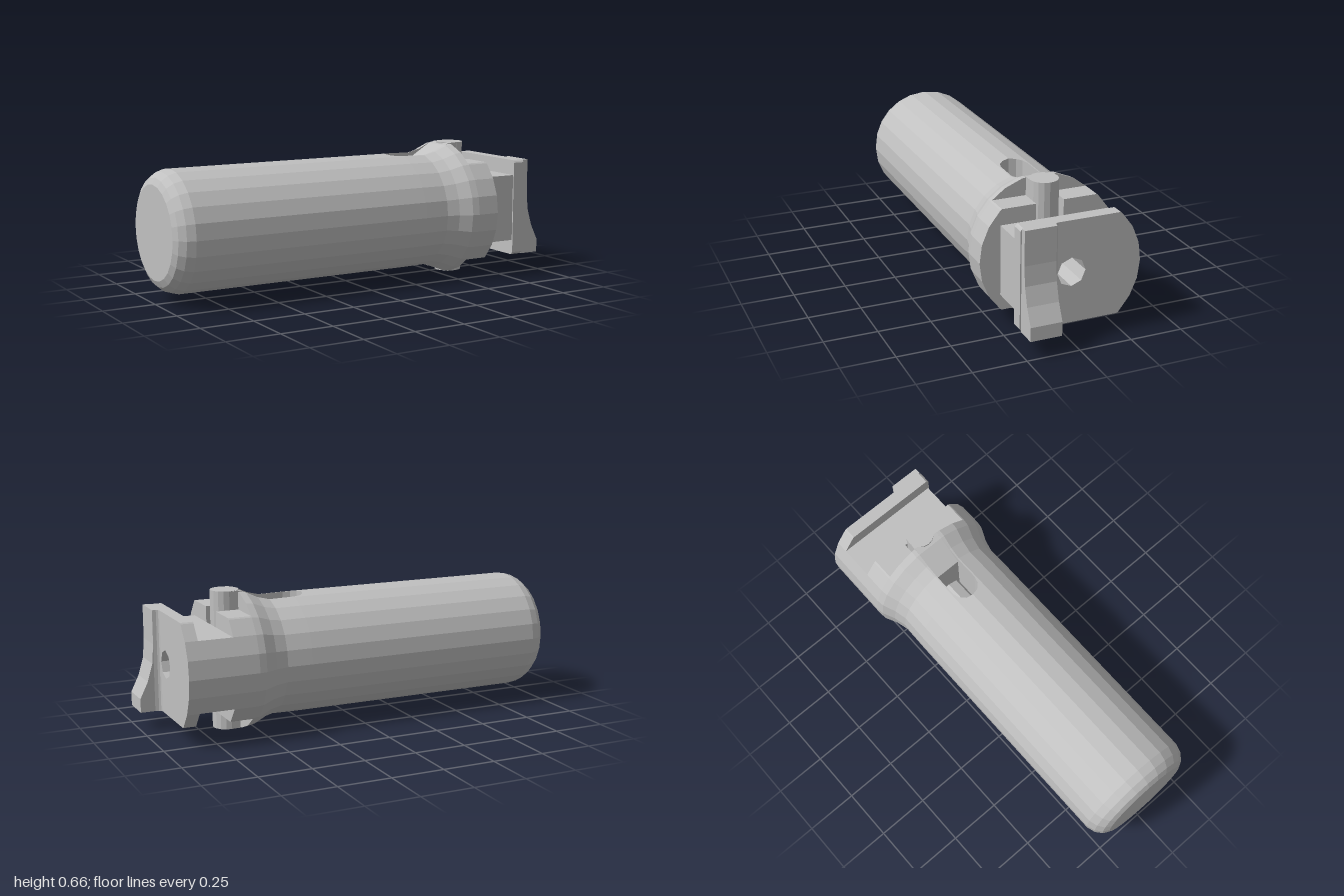
import * as THREE from 'three';

const R = 0.333;      // head radius
const SLOT = 0.067;   // half width of the slot, also the pin and bore radius

const steel = new THREE.MeshStandardMaterial({ color: 0xc0c0c0 });
steel.name = 'grey steel';

function faceted(geometry) {
  const g = geometry.index ? geometry.toNonIndexed() : geometry;
  g.computeVertexNormals();
  return g;
}

function add(parent, name, geometry) {
  const mesh = new THREE.Mesh(faceted(geometry), steel);
  mesh.name = name;
  parent.add(mesh);
  return mesh;
}

// Keep the part of a convex [z, y] polygon where a*z + b*y <= c
function clip(poly, a, b, c) {
  const out = [];
  poly.forEach((p, i) => {
    const q = poly[(i + 1) % poly.length];
    const dp = a * p[0] + b * p[1] - c, dq = a * q[0] + b * q[1] - c;
    if (dp <= 0) out.push(p);
    if (dp * dq < 0) {
      const t = dp / (dp - dq);
      out.push([p[0] + t * (q[0] - p[0]), p[1] + t * (q[1] - p[1])]);
    }
  });
  return out;
}

// 24-sided disc trimmed by flats
function trimmedDisc(yMax, zMin, zMax) {
  let poly = [];
  for (let i = 0; i < 24; i++) {
    const a = (i * Math.PI) / 12;
    poly.push([R * Math.cos(a), R * Math.sin(a)]);
  }
  poly = clip(poly, 0, 1, yMax);
  poly = clip(poly, 0, -1, yMax);
  poly = clip(poly, 1, 0, zMax);
  return clip(poly, -1, 0, -zMin);
}

// Extrude a [z, y] section along x
function alongX(poly, x0, x1, bore) {
  const shape = new THREE.Shape(poly.map(([z, y]) => new THREE.Vector2(-z, y)));
  if (bore) {
    const hole = new THREE.Path();
    hole.setFromPoints(Array.from({ length: 8 }, (_, i) => new THREE.Vector2(
      SLOT * Math.cos((i * Math.PI) / 4), SLOT * Math.sin((i * Math.PI) / 4))));
    shape.holes.push(hole);
  }
  return new THREE.ExtrudeGeometry(shape, { depth: x1 - x0, bevelEnabled: false })
    .rotateY(Math.PI / 2).translate(x0, 0, 0);
}

// Extrude an [x, y] profile along z
function alongZ(profile, z0, z1) {
  const shape = new THREE.Shape(profile.map(([x, y]) => new THREE.Vector2(x, y)));
  return new THREE.ExtrudeGeometry(shape, { depth: z1 - z0, bevelEnabled: false })
    .translate(0, 0, z0);
}

// Half of the barrel: stations are [x, radius, half slot width]
function halfBarrel(stations) {
  const n = 13, pos = [], idx = [];
  stations.forEach(([x, r, g]) => {
    const step = Math.PI / 12;
    const yEnd = r - (g / Math.sin(step)) * (1 - Math.cos(step));
    for (let i = 0; i < n; i++) {
      if (i === 0) pos.push(x, yEnd, g);
      else if (i === n - 1) pos.push(x, -yEnd, g);
      else pos.push(x, r * Math.cos(i * step), r * Math.sin(i * step));
    }
  });
  const last = (stations.length - 1) * n;
  for (let s = 0; s < last; s += n) {
    for (let i = 0; i < n; i++) {
      const j = (i + 1) % n;
      idx.push(s + i, s + j, s + n + i, s + j, s + n + j, s + n + i);
    }
  }
  for (let i = 1; i < n - 1; i++) {
    idx.push(0, i + 1, i, last, last + i, last + i + 1);
  }
  const geo = new THREE.BufferGeometry();
  geo.setAttribute('position', new THREE.Float32BufferAttribute(pos, 3));
  geo.setIndex(idx);
  return geo;
}

export function createModel() {
  const model = new THREE.Group();
  model.name = 'clampTool';
  const axis = new THREE.Group();
  axis.name = 'toolOnAxis';
  axis.position.y = 0.33;
  model.add(axis);

  // Barrel with rounded end, flare and a round-ended slot right through
  const stations = [
    [-1, 0.22, 0], [-0.985, 0.25, 0], [-0.955, 0.274, 0], [-0.915, 0.287, 0],
    [0.22, 0.287, 0], [0.229, 0.287, 0.034], [0.253, 0.287, 0.058],
    [0.287, 0.287, SLOT], [0.41, 0.285, SLOT], [0.47, 0.3, SLOT],
    [0.53, 0.328, SLOT], [0.565, R, SLOT],
  ];
  add(axis, 'barrelLeftHalf', halfBarrel(stations));
  add(axis, 'barrelRightHalf', halfBarrel(stations)).rotation.x = Math.PI;

  // Flattened collar, split by the slot
  add(axis, 'collarFront', alongX(trimmedDisc(0.241, SLOT, 1), 0.565, 0.675));
  add(axis, 'collarBack', alongX(trimmedDisc(0.241, -1, -SLOT), 0.565, 0.675));

  // Neck and end plate, both bored along the axis
  add(axis, 'neck', alongX(trimmedDisc(0.166, -1, 0.235), 0.675, 0.84, true));
  add(axis, 'endPlate', alongX(trimmedDisc(0.241, -1, 0.241), 0.84, 0.9, true));

  // Back wall of the head, keeping its round outside beside the neck
  // is already carried by the trimmed neck and plate sections.

  // Jaw with a hooked lower lip
  add(axis, 'jaw', alongZ([
    [0.9, -0.241], [1, -0.241], [1, -0.175], [0.962, -0.097],
    [0.937, -0.012], [0.93, 0.08], [0.93, 0.241], [0.9, 0.241],
  ], 0.087, 0.235));

  // Small fillet between jaw and plate
  const fillet = [[0.9, 0.068], [0.904, 0.077], [0.913, 0.083], [0.93, 0.087], [0.9, 0.087]];
  add(axis, 'jawFillet', alongZ(fillet.map(([x, z]) => [x, -z]), -0.241, 0.241)
    .rotateX(-Math.PI / 2));

  // Cross pin and the rod lying in the slot
  add(axis, 'crossPin', new THREE.CylinderGeometry(SLOT, SLOT, 0.658, 16).translate(0.608, 0, 0));
  add(axis, 'innerRod', new THREE.CylinderGeometry(SLOT, SLOT, 0.4, 8)
    .rotateZ(Math.PI / 2).translate(0.4, 0, 0));

  // Web joining rod and pin, following the flare
  const edge = [[0.41, 0.245], [0.53, 0.318], [0.565, 0.328], [0.608, 0.328]];
  const web = [...edge.map(([x, y]) => [x, -y]), ...edge.slice().reverse()];
  add(axis, 'pinWeb', alongZ(web, -0.0665, 0.0665));

  return model;
}
